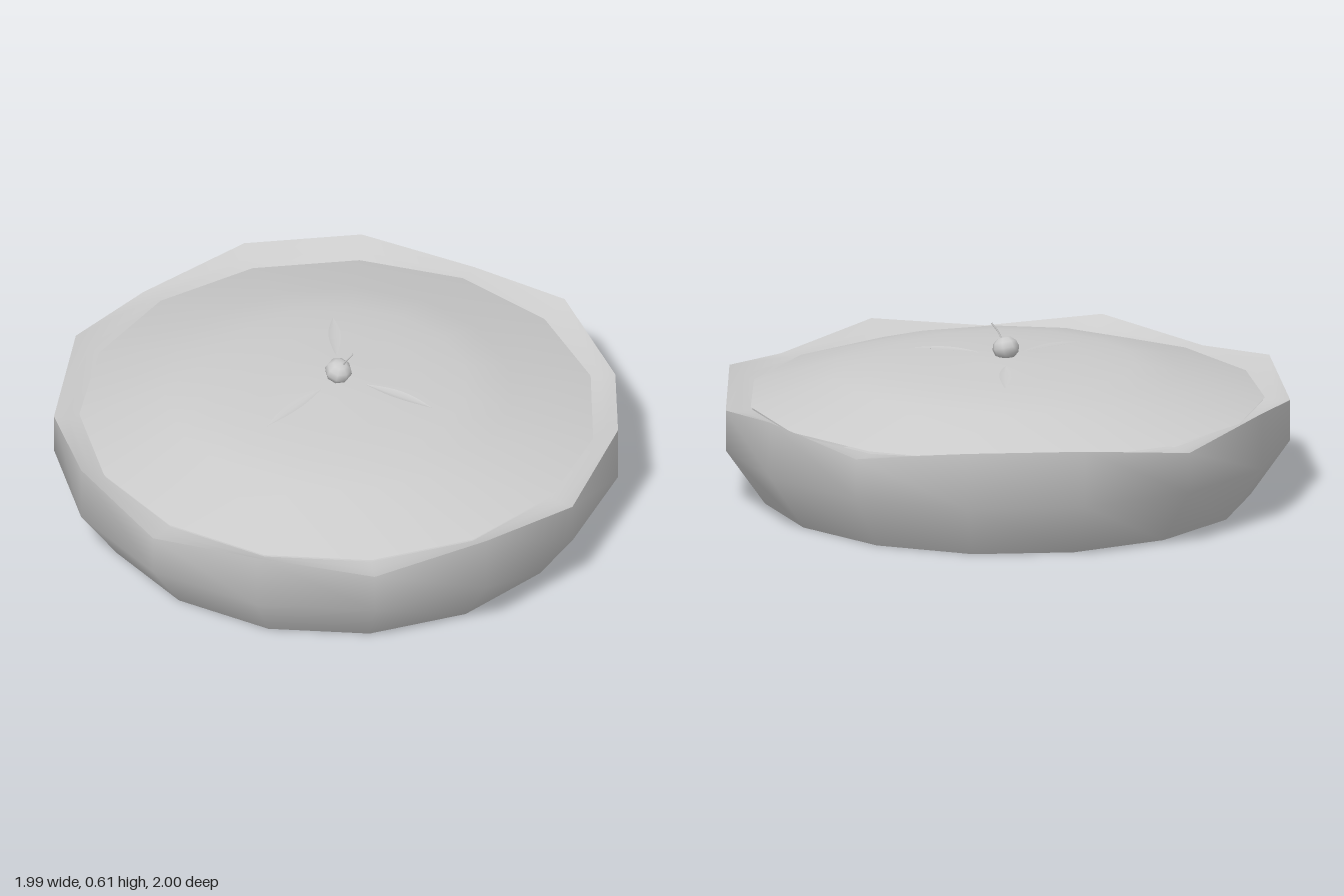
import * as THREE from 'three';
import { mergeVertices } from 'three/addons/utils/BufferGeometryUtils.js';

const SIDES = 15;
const R = 1.0055;
const crustProfile = [[0.916, 0.355], [0.62, 0.447], [0.46, 0.475], [0.3, 0.487], [0.12, 0.497], [0, 0.5]];

// Height of the crust at a given distance from its centre
function crustHeight(r) {
  for (let i = 0; i < crustProfile.length - 1; i++) {
    const [r0, y0] = crustProfile[i], [r1, y1] = crustProfile[i + 1];
    if (r >= r1) return y0 + (y1 - y0) * (r0 - r) / (r0 - r1);
  }
  return 0.5;
}

// Turned 15-sided surface; drop(i, j) lowers profile point j at side i
function turned(profile, drop) {
  const geo = new THREE.LatheGeometry(profile.map(([x, y]) => new THREE.Vector2(x, y)), SIDES, Math.PI / 2);
  const pos = geo.attributes.position, n = profile.length;
  if (drop) {
    for (let v = 0; v < pos.count; v++) pos.setY(v, pos.getY(v) - drop(Math.floor(v / n), v % n));
  }
  geo.deleteAttribute('uv');
  geo.deleteAttribute('normal');
  const welded = mergeVertices(geo, 1e-4);
  welded.computeVertexNormals();
  return welded;
}

// Leaf-shaped groove lying on the crust, from (x0, z0) to (x1, z1)
function slit(x0, z0, x1, z1) {
  const geo = new THREE.PlaneGeometry(1, 1, 10, 2).rotateX(-Math.PI / 2);
  const pos = geo.attributes.position;
  const dx = x1 - x0, dz = z1 - z0, len = Math.hypot(dx, dz);
  for (let v = 0; v < pos.count; v++) {
    const t = pos.getX(v) + 0.5, side = pos.getZ(v) * 2;
    const w = side * 0.022 * Math.sin(Math.PI * t);
    const x = x0 + dx * t - dz / len * w;
    const z = z0 + dz * t + dx / len * w;
    const lift = 0.001 + 0.006 * Math.abs(side) * Math.sin(Math.PI * t);
    pos.setXYZ(v, x, crustHeight(Math.hypot(x, z)) + lift, z);
  }
  geo.computeVertexNormals();
  return geo;
}

export function createModel() {
  const group = new THREE.Group();
  group.name = 'pie';
  const material = new THREE.MeshStandardMaterial({ color: 0xcccccc, side: THREE.DoubleSide });
  const add = (name, geometry) => {
    const mesh = new THREE.Mesh(geometry, material);
    mesh.name = name;
    mesh.position.x = -0.011;
    group.add(mesh);
    return mesh;
  };

  // Alternate rim corners dip; two neighbours stay high because the count is odd
  const low = (i) => (32 - i) % SIDES % 2;

  // Dish: flat base, flared wall and wavy rim
  add('dishBase', turned([[0, 0], [0.865, 0]]));
  add('dishWall', turned([[0.865, 0], [R, 0.2], [R, 0.403]], (i, j) => (j === 2 ? 0.057 * low(i) : 0)));
  add('dishRim', turned([[R, 0.403], [0.955, 0.37], [0.91, 0.345]], (i, j) => [0.057, 0.03, 0][j] * low(i)));

  // Domed crust with three vents
  add('crust', turned(crustProfile));
  [[0.075, -0.11, 0.22, -0.32], [0.05, 0.09, 0.165, 0.33], [-0.09, 0.02, -0.37, 0.065]]
    .forEach((ends) => add('crustSlit', slit(...ends)));

  // Cherry and its curved stem
  const cherry = add('cherry', new THREE.SphereGeometry(0.049, 8, 6));
  cherry.position.y = 0.528;
  cherry.scale.y = 0.85;
  cherry.rotation.x = 0.3;
  const stemPath = new THREE.CatmullRomCurve3([
    new THREE.Vector3(0.008, 0.55, 0.012),
    new THREE.Vector3(0.012, 0.58, 0.028),
    new THREE.Vector3(0.03, 0.613, 0.046),
  ]);
  add('cherryStem', new THREE.TubeGeometry(stemPath, 6, 0.003, 5));

  return group;
}
